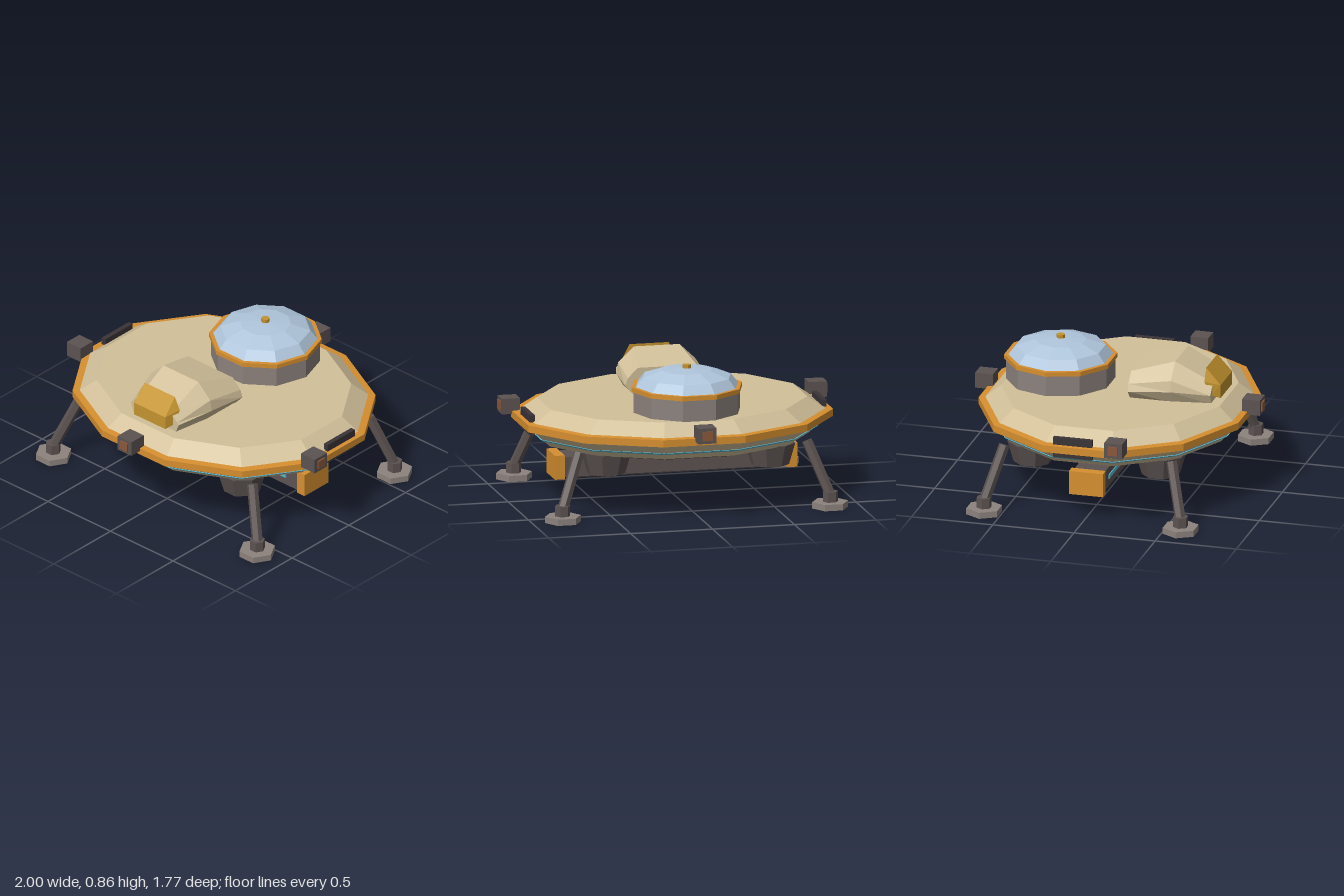
import * as THREE from 'three';
import { ConvexGeometry } from 'three/addons/geometries/ConvexGeometry.js';

export function createModel() {
  const model = new THREE.Group();
  model.name = 'landerSaucer';

  const paint = (name, color) => {
    const m = new THREE.MeshStandardMaterial({ color });
    m.name = name;
    return m;
  };
  const tan = paint('tanHull', 0xd2c09a);
  const orange = paint('orangeTrim', 0xd68f2f);
  const grey = paint('lightGrey', 0x8c827d);
  const dark = paint('darkGrey', 0x5c5351);
  const belly = paint('bellyGrey', 0x55504c);
  const black = paint('nearBlack', 0x3a3437);
  const glass = paint('blueGlass', 0xb0c6dc);
  const gold = paint('goldGlass', 0xc4932e);
  const teal = paint('tealLight', 0x5cb8d2);
  const brown = paint('brownNozzle', 0x8a583a);

  // Adds a faceted mesh
  const add = (name, geo, mat, x = 0, y = 0, z = 0) => {
    const flat = geo.index ? geo.toNonIndexed() : geo;
    flat.computeVertexNormals();
    const mesh = new THREE.Mesh(flat, mat);
    mesh.name = name;
    mesh.position.set(x, y, z);
    model.add(mesh);
    return mesh;
  };
  const box = (w, h, d) => new THREE.BoxGeometry(w, h, d);
  const prism = (rTop, rBottom, h, sides, turn = 0) =>
    new THREE.CylinderGeometry(rTop, rBottom, h, sides).rotateY(turn);
  const lathe = (pts, sides, turn) =>
    new THREE.LatheGeometry(pts.map(p => new THREE.Vector2(...p)), sides).rotateY(turn);

  // Saucer: twelve-sided rings stretched into an oval
  const oval = pts => lathe(pts, 12, Math.PI / 12).scale(0.963, 1, 0.828);
  add('upperHull', oval([[0.955, 0.51], [0.84, 0.585], [0, 0.585]]), tan);
  add('rim', oval([[0.96, 0.465], [1, 0.465], [1, 0.508], [0.95, 0.512]]), orange);
  add('lowerHull', oval([[0, 0.365], [0.85, 0.365], [0.965, 0.466]]), tan);
  add('hullLightStrip', oval([[0.885, 0.4], [0.899, 0.4], [0.911, 0.41], [0.9, 0.411]]), teal);
  add('bellyPlate', oval([[0, 0.342], [0.74, 0.342], [0.79, 0.366]]), belly);

  // Observation dome at the rear
  const domeZ = -0.365, turn10 = Math.PI / 10;
  add('domeDrum', prism(0.325, 0.325, 0.14, 10, turn10), grey, 0, 0.645, domeZ);
  add('domeRing', prism(0.336, 0.336, 0.027, 10, turn10), orange, 0, 0.725, domeZ);
  add('dome', lathe([[0.312, 0.738], [0.268, 0.793], [0.153, 0.831], [0, 0.842]], 10, turn10),
    glass, 0, 0, domeZ);
  add('domeKnob', prism(0.025, 0.025, 0.03, 8), gold, 0, 0.847, domeZ);

  // Cockpit hood: half sections from base to crown, mirrored and joined in loops
  const sections = [
    [0.12, [0.2, 0.575], [0.257, 0.638], [0.24, 0.682], [0.18, 0.743]],
    [0.38, [0.2, 0.575], [0.247, 0.657], [0.235, 0.724], [0.14, 0.814]],
    [0.61, [0.165, 0.575], [0.192, 0.638], [0.18, 0.65], [0.13, 0.7]],
  ].map(([z, ...half]) => [
    ...half.map(([x, y]) => [x, y, z]),
    ...half.slice().reverse().map(([x, y]) => [-x, y, z]),
  ]);
  const hood = [];
  for (let s = 0; s < 2; s++) {
    for (let i = 0; i < 8; i++) {
      const j = (i + 1) % 8, a = sections[s], b = sections[s + 1];
      hood.push(a[i], a[j], b[j], a[i], b[j], b[i]);
    }
  }
  for (let i = 1; i < 7; i++) {
    hood.push(sections[0][0], sections[0][i + 1], sections[0][i]);
    hood.push(sections[2][0], sections[2][i], sections[2][i + 1]);
  }
  const hoodGeo = new THREE.BufferGeometry();
  hoodGeo.setAttribute('position', new THREE.Float32BufferAttribute(hood.flat(), 3));
  add('cockpitHood', hoodGeo, tan);

  // Faceted cockpit window
  const pane = [];
  for (const s of [-1, 1]) {
    for (const [x, y, z] of [[0.12, 0.786, 0.565], [0.16, 0.71, 0.565],
      [0.125, 0.686, 0.655], [0.125, 0.605, 0.655], [0.15, 0.625, 0.605]]) {
      pane.push(new THREE.Vector3(s * x, y, z));
    }
  }
  add('cockpitWindow', new ConvexGeometry(pane), gold);

  // Manoeuvring thrusters on the rim
  for (const [x, z, turn] of [[0, 0.822, 0], [0, -0.822, Math.PI],
    [0.937, 0.238, Math.PI / 2], [-0.937, 0.238, -Math.PI / 2]]) {
    add('thrusterBlock', box(0.11, 0.094, 0.11), dark, x, 0.537, z).rotation.y = turn;
    add('thrusterNozzle', box(0.06, 0.055, 0.016).translate(0, 0, 0.056), brown,
      x, 0.537, z).rotation.y = turn;
  }

  // Parts mirrored left and right
  for (const sx of [-1, 1]) {
    add('sideVent', box(0.03, 0.122, 0.24), black, sx * 0.89, 0.493, -0.037);
    add('boomEndCap', box(0.06, 0.145, 0.21), orange, sx * 0.71, 0.215, 0);
    add('boomPost', prism(0.035, 0.035, 0.09, 6), dark, sx * 0.355, 0.31, 0);

    // Landing legs and lift engines at each corner
    for (const sz of [-1, 1]) {
      add('footPad', prism(0.11, 0.11, 0.038, 6, Math.PI / 6), grey, sx * 0.815, 0.019, sz * 0.605);
      add('ankle', prism(0.046, 0.046, 0.065, 6, Math.PI / 6), dark, sx * 0.817, 0.068, sz * 0.605);
      const from = new THREE.Vector3(sx * 0.815, 0.08, sz * 0.603);
      const to = new THREE.Vector3(sx * 0.695, 0.395, sz * 0.515);
      const dir = to.clone().sub(from);
      const mid = from.clone().add(to).multiplyScalar(0.5);
      add('legStrut', prism(0.033, 0.033, dir.length(), 6), dark, mid.x, mid.y, mid.z)
        .quaternion.setFromUnitVectors(new THREE.Vector3(0, 1, 0), dir.normalize());
      add('liftEngine', prism(0.152, 0.115, 0.13, 8, Math.PI / 8), dark, sx * 0.5, 0.305, sz * 0.395);
      add('liftNozzle', prism(0.098, 0.098, 0.008, 8, Math.PI / 8), brown, sx * 0.5, 0.239, sz * 0.395);
    }
  }

  // Cross boom slung under the belly
  add('boom', box(1.37, 0.12, 0.19), dark, 0, 0.214, 0);
  add('boomKeel', box(1.31, 0.02, 0.11), black, 0, 0.148, 0);
  add('boomLight', box(1.17, 0.026, 0.008), teal, 0, 0.216, 0.097);

  return model;
}
